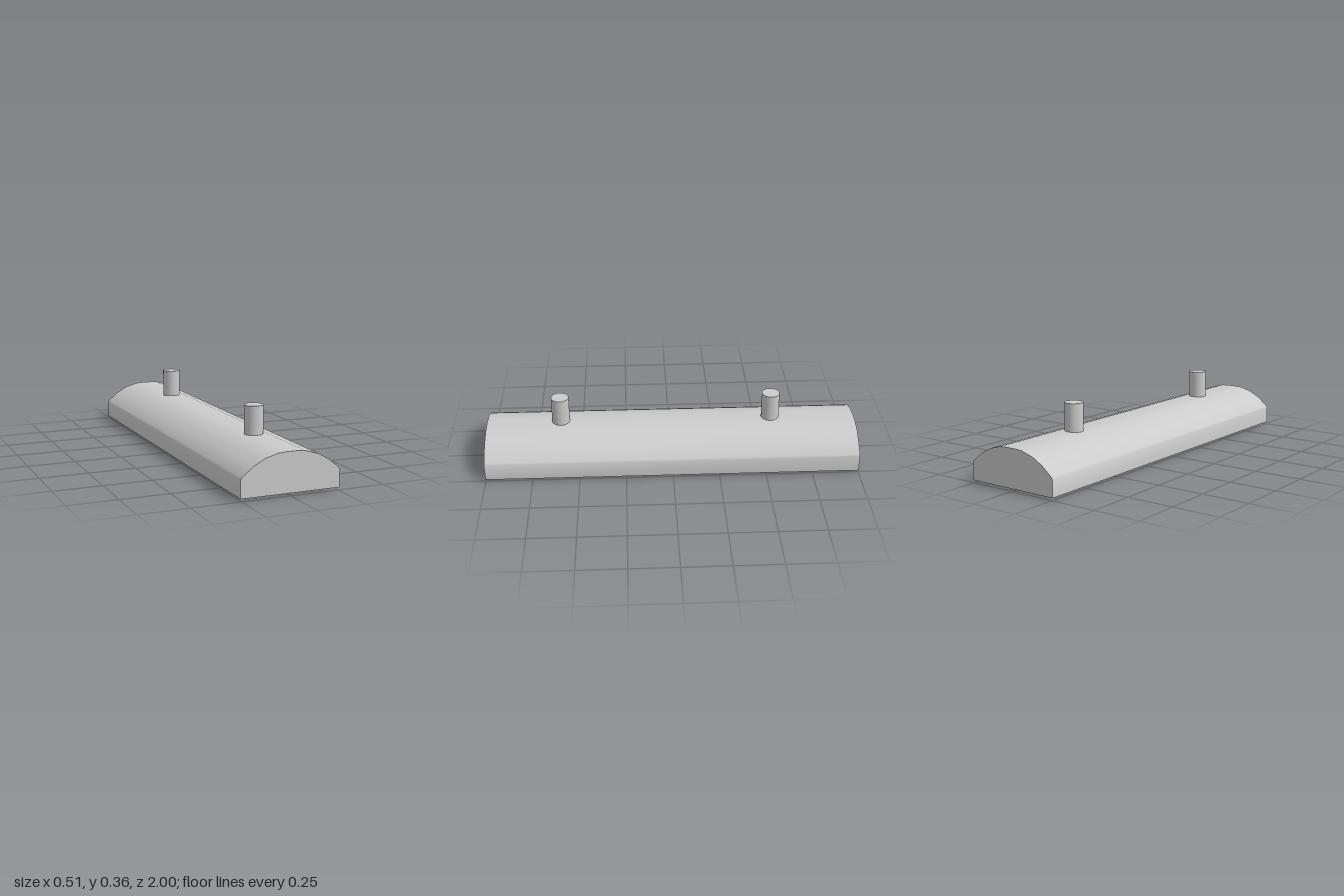
import * as THREE from 'three';
import { toCreasedNormals } from 'three/addons/utils/BufferGeometryUtils.js';

export function createModel() {
  const group = new THREE.Group();
  const material = new THREE.MeshStandardMaterial({ color: 0xcccccc });

  // Domed bar: half profile from the base up to the crown, mirrored and extruded along z
  const half = [
    [0.256, 0.013], [0.256, 0.102], [0.25, 0.112], [0.195, 0.157],
    [0.136, 0.19], [0.07, 0.209], [0.03, 0.212],
  ];
  const outline = [...half, ...half.map(([x, y]) => [-x, y]).reverse()];
  const profile = new THREE.Shape(outline.map(([x, y]) => new THREE.Vector2(x, y)));
  const barGeometry = new THREE.ExtrudeGeometry(profile, { depth: 2, bevelEnabled: false });
  barGeometry.translate(0, 0, -1);
  const bar = new THREE.Mesh(toCreasedNormals(barGeometry, 0.7), material);
  bar.name = 'domedBar';
  group.add(bar);

  // Pins passing through the bar, just proud of its underside
  const pinHeight = 0.358;
  const pinGeometry = new THREE.CylinderGeometry(0.048, 0.048, pinHeight, 32);
  for (const [name, z] of [['frontPin', 0.6], ['backPin', -0.54]]) {
    const pin = new THREE.Mesh(pinGeometry, material);
    pin.name = name;
    pin.position.set(-0.003, pinHeight / 2, z);
    group.add(pin);
  }
  return group;
}
